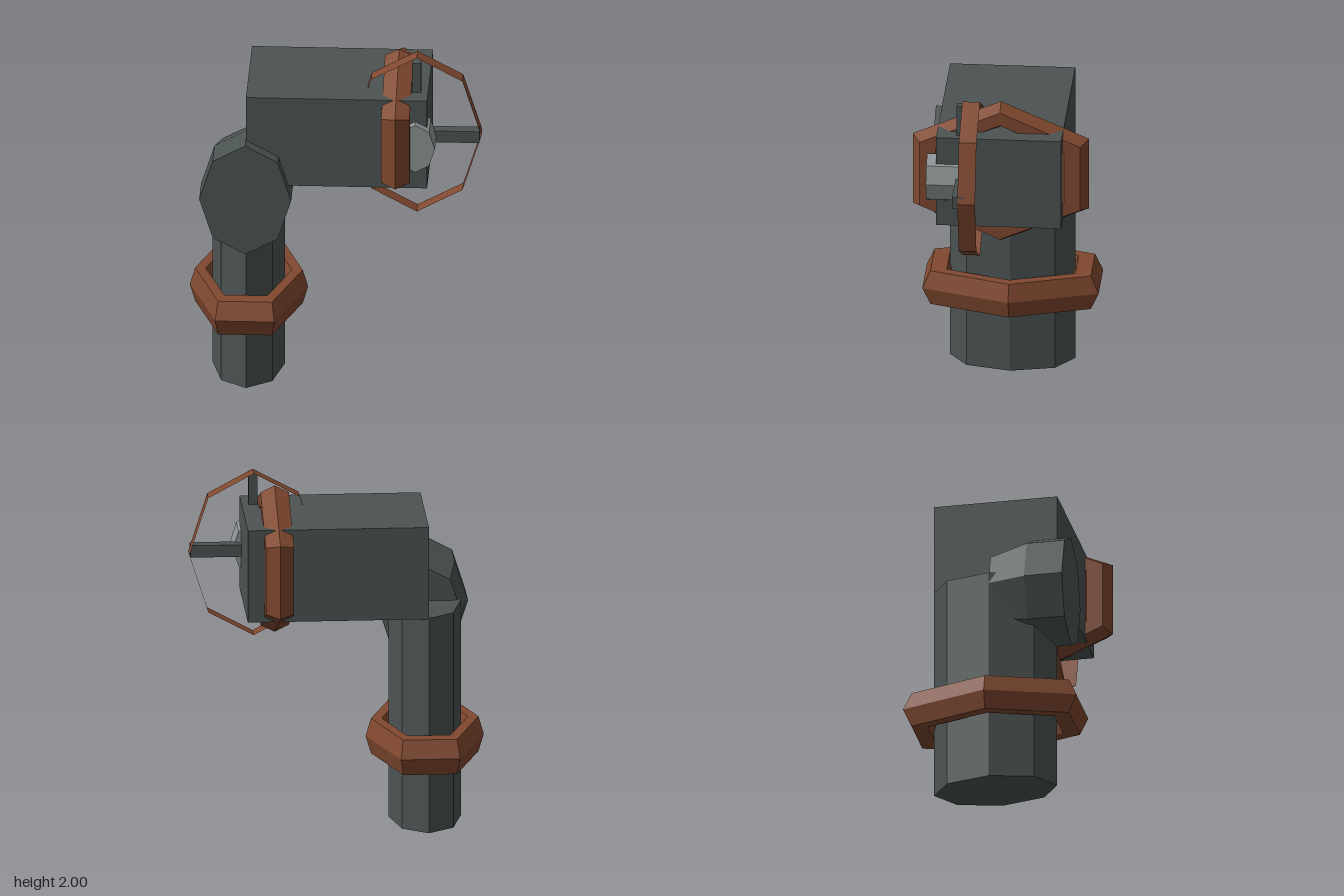
import * as THREE from 'three';

const paint = (color, extra = {}) => new THREE.MeshStandardMaterial({ color, flatShading: true, ...extra });

export function createModel() {
  const model = new THREE.Group();
  const iron = paint(0x4b5352);
  const rust = paint(0x80482f);
  const rustThin = paint(0x80482f, { side: THREE.DoubleSide });
  const steel = paint(0x8c9394);

  const add = (name, geometry, material, x, y, z) => {
    const mesh = new THREE.Mesh(geometry, material);
    mesh.name = name;
    mesh.position.set(x, y, z);
    model.add(mesh);
  };
  // Eight-sided prism along z, stretched into an ellipse
  const octagon = (rx, ry, depth, open = false) =>
    new THREE.CylinderGeometry(1, 1, depth, 8, 1, open).rotateX(Math.PI / 2).scale(rx, ry, 1);
  // Six-sided collar lying in the xy plane, corners on the x axis
  const collar = () => new THREE.TorusGeometry(0.473, 0.104, 6, 6);

  // Pipes
  add('uprightPipe', new THREE.CylinderGeometry(1, 1, 1.265, 8).scale(0.205, 1, 0.355), iron, -0.5, 0.6325, 0);
  add('horizontalDuct', new THREE.BoxGeometry(1.025, 0.54, 0.71), iron, 0.0125, 1.53, 0);

  // Elbow: drum with a tapered back
  const drum = [[0, 0], [0.79, 0], [1, 0.217], [1, 0.435], [0, 0.435]].map(p => new THREE.Vector2(...p));
  const elbow = new THREE.LatheGeometry(drum, 8).rotateX(Math.PI / 2).scale(0.26, 0.335, 1);
  add('elbow', elbow, iron, -0.5, 1.2, 0);

  // Flange collars
  add('lowerCollar', collar().rotateX(Math.PI / 2).scale(0.58, 1.138, 1), rust, -0.5, 0.477, 0);
  add('endCollar', collar().rotateZ(Math.PI / 2).rotateY(Math.PI / 2).scale(0.888, 0.745, 1), rust, 0.35, 1.53, 0);

  // Valve wheel: thin rim, two spokes and hub
  add('wheelRim', octagon(0.365, 0.475, 0.1, true), rustThin, 0.46, 1.525, 0.16);
  add('upperSpoke', new THREE.BoxGeometry(0.05, 0.455, 0.07), iron, 0.46, 1.7525, 0.205);
  add('sideSpoke', new THREE.BoxGeometry(0.355, 0.07, 0.07), iron, 0.6375, 1.53, 0.205);
  add('wheelHub', octagon(0.112, 0.145, 0.192), steel, 0.46, 1.527, 0.313);

  return model;
}
